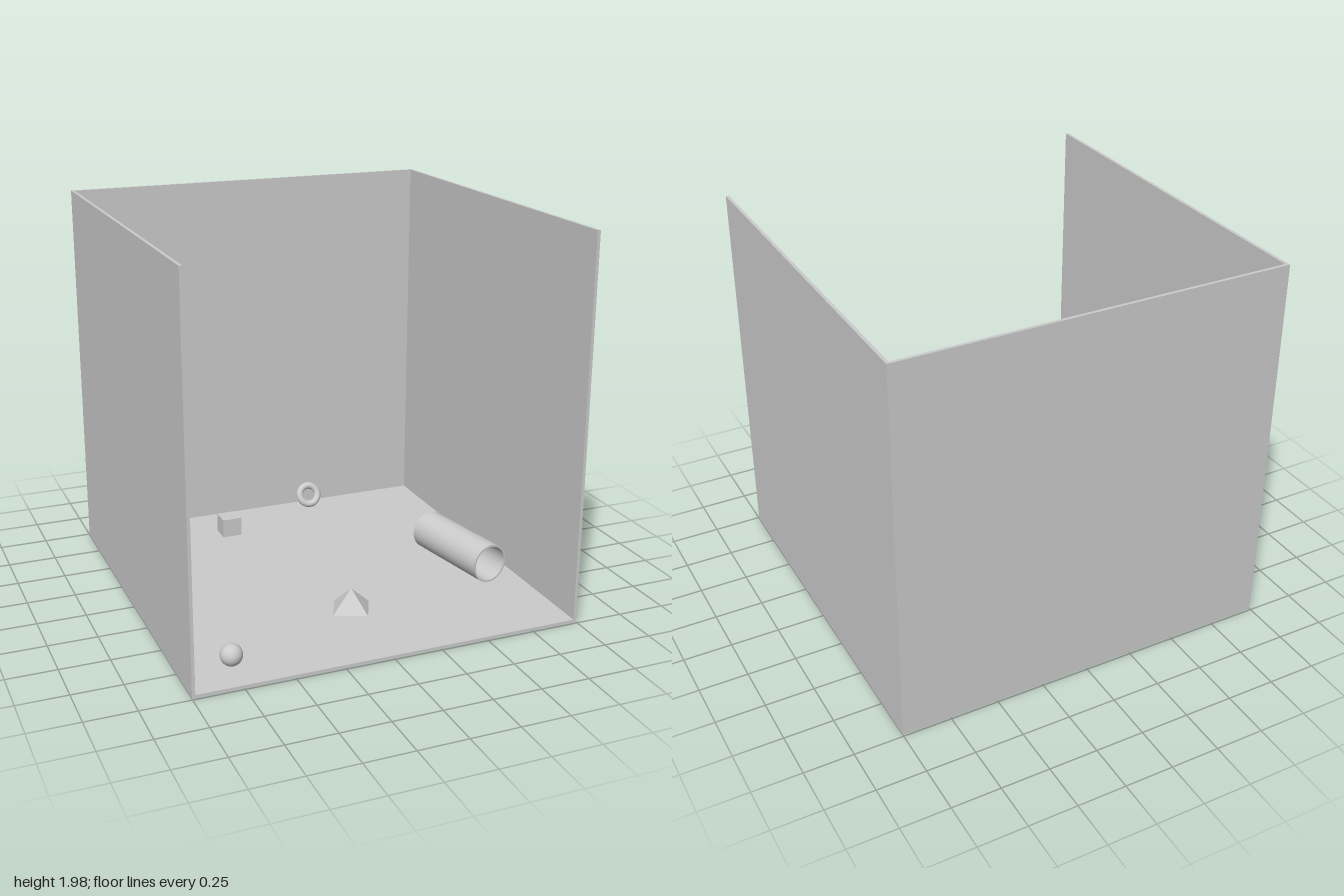
import * as THREE from 'three';

const material = new THREE.MeshStandardMaterial({ color: 0xcccccc });

function add(parent, name, geometry, x, y, z, mat = material) {
  const mesh = new THREE.Mesh(geometry, mat);
  mesh.name = name;
  mesh.position.set(x, y, z);
  parent.add(mesh);
  return mesh;
}

export function createModel() {
  const model = new THREE.Group();
  model.name = 'roomWithShapes';

  // Open room: floor, back wall and two side walls
  const T = 0.016, H = 1.98, D = 1.98;
  const room = new THREE.Group();
  room.name = 'room';
  model.add(room);
  add(room, 'floor', new THREE.BoxGeometry(2, T, D), 0, T / 2, 0);
  add(room, 'backWall', new THREE.BoxGeometry(2 - 2 * T, H - T, T), 0, (H + T) / 2, -D / 2 + T / 2);
  for (const [name, s] of [['leftWall', 1], ['rightWall', -1]]) {
    add(room, name, new THREE.BoxGeometry(T, H - T, D), s * (1 - T / 2), (H + T) / 2, 0);
  }

  // Half-round log lying along z
  const log = add(model, 'halfCylinder',
    new THREE.CylinderGeometry(0.05, 0.05, 0.63, 32, 1, false, Math.PI / 2, Math.PI), -0.893, T, 0.015);
  log.rotation.x = Math.PI / 2;

  // Ball and cube
  add(model, 'ball', new THREE.SphereGeometry(0.055, 40, 24), -0.745, T + 0.055, 0.79);
  add(model, 'cube', new THREE.BoxGeometry(0.108, 0.104, 0.108), -0.257, T + 0.052, -0.685);

  // Square pyramid
  const flat = material.clone();
  flat.flatShading = true;
  const pyramid = add(model, 'pyramid', new THREE.ConeGeometry(0.124, 0.11, 4), 0.007, T + 0.055, 0.457, flat);
  pyramid.rotation.y = 0.35;

  // Ring leaning back towards the wall
  const ring = add(model, 'ring', new THREE.TorusGeometry(0.055, 0.02, 24, 64), 0.312, 0.087, -0.893);
  ring.rotation.x = -0.45;

  // Hollow pipe on the floor, built from outer skin, end rims and inner skin
  const pipe = new THREE.Group();
  pipe.name = 'pipe';
  pipe.position.set(0.76, T + 0.104, 0.18);
  pipe.rotation.set(Math.PI / 2, 0, -0.175);
  pipe.rotation.order = 'YXZ';
  pipe.rotation.set(Math.PI / 2, 0.175, 0);
  const ro = 0.104, ri = 0.094, h = 0.27;
  const profile = [[ro, -h], [ro, h], [ri, h], [ri, -h], [ro, -h]].map(p => new THREE.Vector2(...p));
  ['outerSkin', 'frontRim', 'innerSkin', 'backRim'].forEach((name, i) => {
    add(pipe, name, new THREE.LatheGeometry([profile[i], profile[i + 1]], 64), 0, 0, 0);
  });
  model.add(pipe);

  return model;
}
